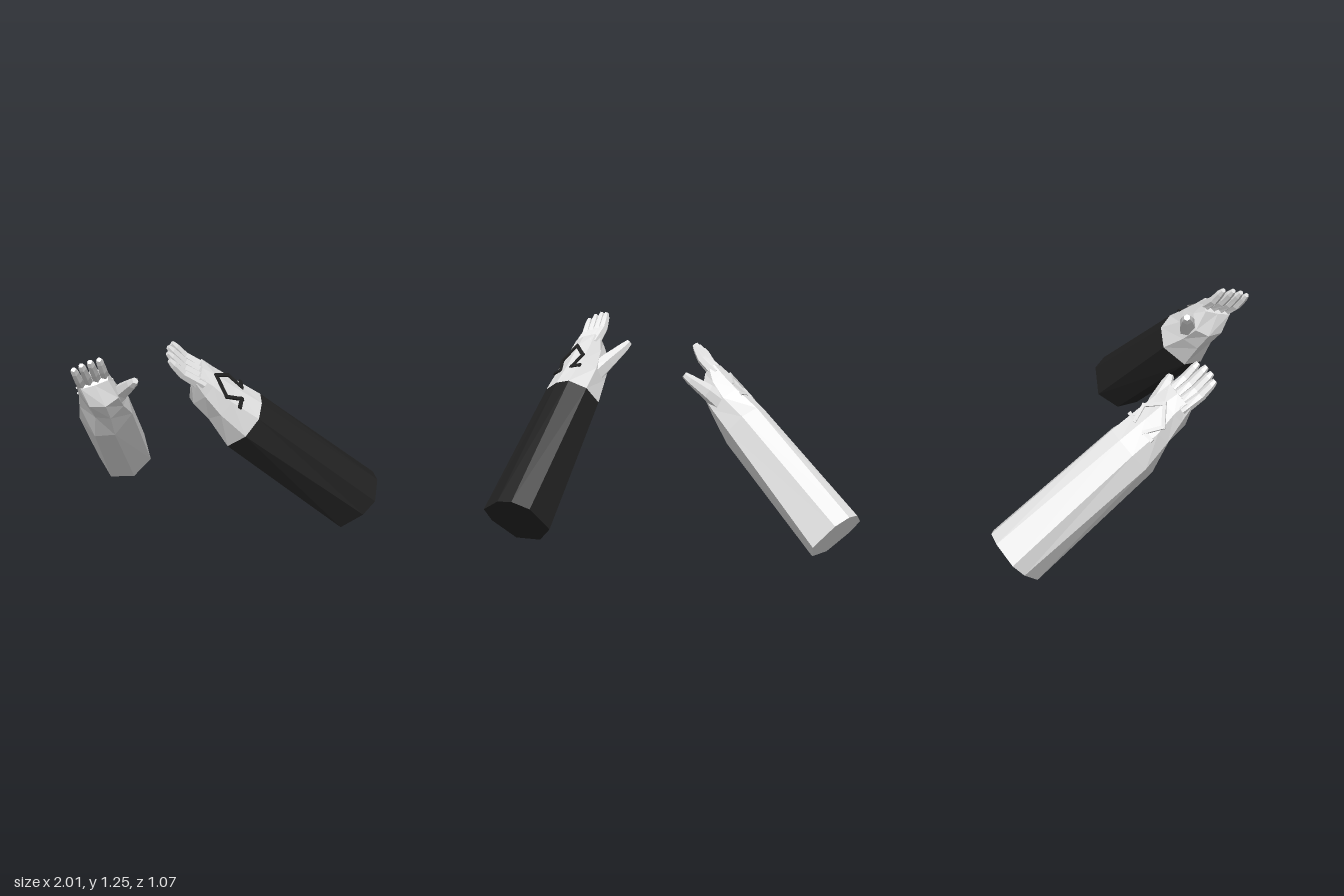
import * as THREE from 'three';

const skin = new THREE.MeshStandardMaterial({ color: 0xe2e2e2 });
skin.name = 'pale skin';
const black = new THREE.MeshStandardMaterial({ color: 0x222222 });
black.name = 'black cloth';

const V = (x, y, z) => new THREE.Vector3(x, y, z);

// Arm-local frame: x across the hand (thumb at -x), y out of its back, z towards the fingers.
// Skins closed rings of equal size, capped at both ends, with one normal per face.
function loft(rings, side) {
  const pos = [];
  const tri = (a, b, c) => {
    for (const p of side > 0 ? [a, b, c] : [a, c, b]) pos.push(p.x * side, p.y, p.z);
  };
  const n = rings[0].length;
  for (let j = 0; j < rings.length - 1; j++) {
    for (let i = 0; i < n; i++) {
      const k = (i + 1) % n;
      const a = rings[j][i], b = rings[j][k], c = rings[j + 1][i], d = rings[j + 1][k];
      tri(a, c, b);
      tri(b, c, d);
    }
  }
  const first = rings[0], last = rings[rings.length - 1];
  for (let i = 1; i < n - 1; i++) {
    tri(first[0], first[i], first[i + 1]);
    tri(last[0], last[i + 1], last[i]);
  }
  const g = new THREE.BufferGeometry();
  g.setAttribute('position', new THREE.Float32BufferAttribute(pos, 3));
  g.computeVertexNormals();
  return g;
}

// Rings along a path; each size is [half width, half thickness].
function limb(path, sizes, sides, side) {
  const dir = path[path.length - 1].clone().sub(path[0]).normalize();
  const across = V(0, 1, 0).cross(dir).normalize();
  const up = dir.clone().cross(across);
  const rings = path.map((p, j) => Array.from({ length: sides }, (_, i) => {
    const a = Math.PI / sides - (i * 2 * Math.PI) / sides;
    return p.clone()
      .addScaledVector(across, Math.cos(a) * sizes[j][0])
      .addScaledVector(up, Math.sin(a) * sizes[j][1]);
  }));
  return loft(rings, side);
}

// Eight-sided cross-sections from elbow to knuckles
const section = (z, pts) => pts.map(([x, y]) => V(x, y, z));
const elbow = section(0, [[-0.097, 0.12], [-0.015, 0.145], [0.124, 0.115], [0.157, 0.027],
  [0.133, -0.134], [0, -0.186], [-0.133, -0.126], [-0.155, 0.042]]);
const wrist = section(0.804, [[-0.087, 0.113], [-0.003, 0.125], [0.1, 0.104], [0.15, 0.007],
  [0.11, -0.127], [0.004, -0.163], [-0.129, -0.086], [-0.145, 0.03]]);
const palm = section(0.97, [[-0.09, 0.093], [-0.005, 0.11], [0.095, 0.092], [0.122, 0.01],
  [0.065, -0.085], [-0.01, -0.125], [-0.1, -0.085], [-0.12, 0.01]]);
const heel = section(1.09, [[-0.085, 0.085], [-0.005, 0.104], [0.072, 0.09], [0.098, 0.03],
  [0.07, -0.06], [-0.01, -0.095], [-0.09, -0.075], [-0.105, 0.02]]);
const knuckles = section(1.17, [[-0.08, 0.085], [0, 0.095], [0.07, 0.085], [0.09, 0.055],
  [0.075, 0.02], [0, 0.01], [-0.075, 0.01], [-0.09, 0.05]]);

function makeArm(side, sleeveMaterial, markMaterial) {
  const arm = new THREE.Group();
  const add = (name, geometry, material) => {
    const m = new THREE.Mesh(geometry, material);
    m.name = name;
    arm.add(m);
  };

  add('forearm', loft([elbow, wrist], side), sleeveMaterial);
  add('hand', loft([wrist, palm, heel, knuckles], side), skin);

  // Four fingers with a slight bend
  [[-0.07, 1.345], [-0.023, 1.365], [0.024, 1.365], [0.068, 1.35]].forEach(([x, tip], i) => {
    add('finger' + (i + 1), limb(
      [V(x * 0.95, 0.055, 1.13), V(x, 0.046, 1.25), V(x * 1.02, 0.06, tip - 0.03), V(x * 1.02, 0.066, tip)],
      [[0.026, 0.036], [0.025, 0.027], [0.022, 0.021], [0.014, 0.013]], 6, side), skin);
  });

  add('thumb', limb(
    [V(-0.065, -0.025, 0.97), V(-0.125, -0.035, 1.06), V(-0.185, -0.055, 1.16), V(-0.206, -0.06, 1.195)],
    [[0.05, 0.055], [0.047, 0.045], [0.032, 0.028], [0.018, 0.018]], 6, side), skin);

  // Angular line mark lying on the back of the hand
  const mark = [[0.1, 0.925], [0.045, 0.922], [0.09, 1.01], [0, 1.09], [-0.08, 1.005], [-0.04, 0.925], [-0.095, 0.925]]
    .map(([x, z]) => V(x, 0.114 - 0.15 * Math.abs(x) - 0.04 * Math.max(0, z - 0.92), z));
  for (let i = 0; i < mark.length - 1; i++) {
    const ext = mark[i + 1].clone().sub(mark[i]).setLength(0.009);
    const ends = [mark[i].clone().sub(ext), mark[i + 1].clone().add(ext)];
    const size = [0.0095 * Math.SQRT2, 0.0045 * Math.SQRT2];
    add('handMark' + (i + 1), limb(ends, [size, size], 4, side), markMaterial);
  }
  return arm;
}

// Places an arm by its elbow centre, mirrored for the right side, with a small yaw.
function place(arm, side, elbowCentre, yaw) {
  const across = V(0.552, -0.336 * side, 0.764 * side);
  const back = V(0.684 * side, 0.705, -0.184);
  const along = V(-0.476 * side, 0.624, 0.618);
  const m = new THREE.Matrix4().makeBasis(across, back, along);
  m.premultiply(new THREE.Matrix4().makeRotationY(yaw)).setPosition(elbowCentre);
  for (const mesh of arm.children) {
    mesh.geometry.applyMatrix4(m);
    mesh.geometry.computeVertexNormals();
  }
}

export function createModel() {
  const model = new THREE.Group();
  model.name = 'pairOfArms';

  const left = makeArm(1, black, black);
  left.name = 'leftSleevedArm';
  place(left, 1, V(0.854, 0.335, -0.35), 0);

  const right = makeArm(-1, skin, skin);
  right.name = 'rightBareArm';
  place(right, -1, V(-0.852, 0.142, -0.415), -0.08);

  model.add(left, right);
  return model;
}
